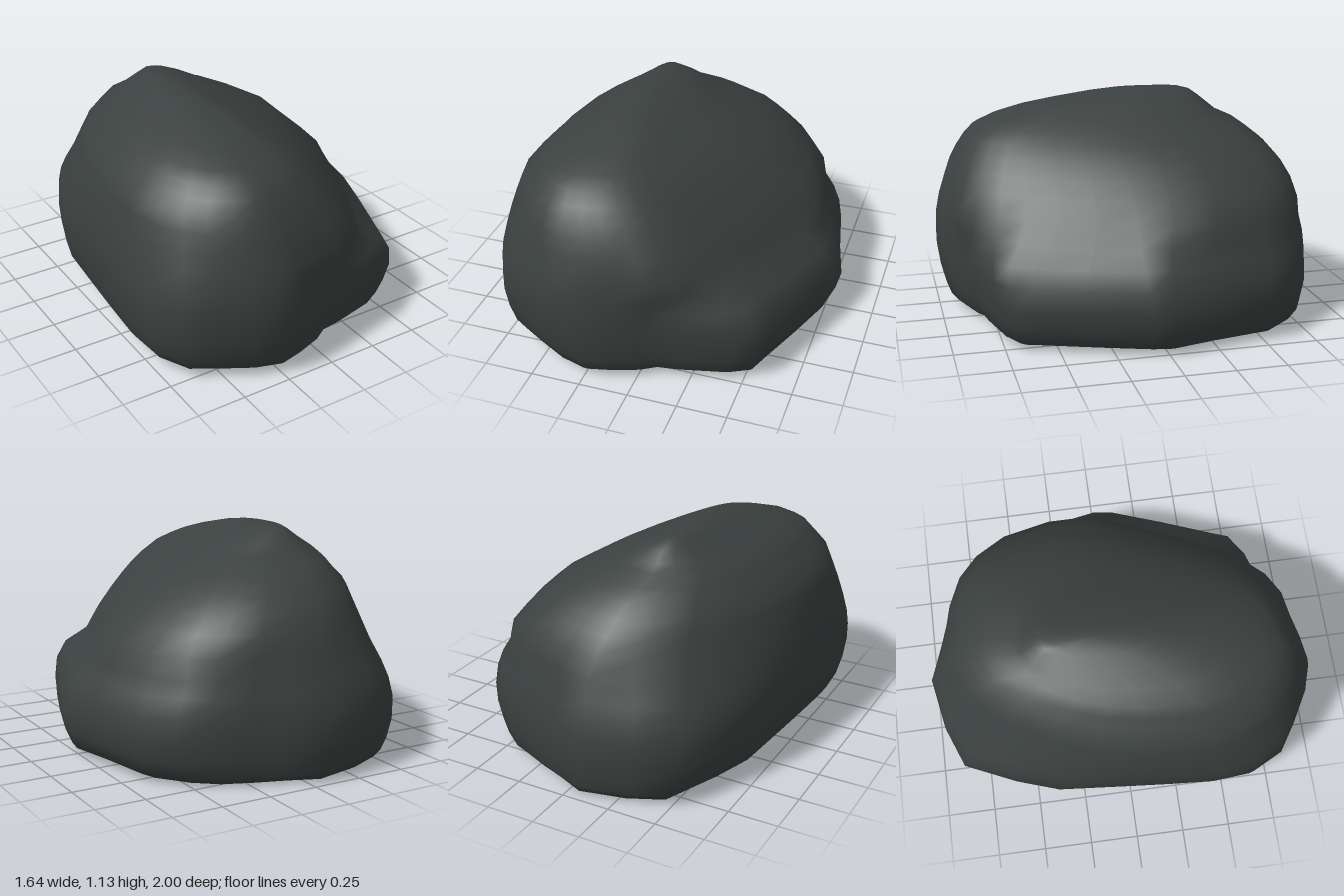
import * as THREE from 'three';

// Plan outlines in a unit square (x, z), from the back round by +x to the front
const LOW = [
  [-0.09, -1], [0.12, -0.93], [0.33, -0.87], [0.54, -0.8], [0.7, -0.7], [0.86, -0.54], [0.93, -0.24],
  [1, 0], [0.98, 0.1], [0.86, 0.37], [0.74, 0.62], [0.69, 0.73], [0.55, 0.79], [0.25, 0.85],
  [0.1, 0.87], [0, 0.92], [-0.18, 0.97], [-0.34, 1], [-0.52, 0.96], [-0.73, 0.87],
  [-0.88, 0.8], [-0.98, 0.64], [-1, 0.44], [-0.98, 0.2], [-0.96, 0], [-0.92, -0.38],
  [-0.83, -0.6], [-0.68, -0.87], [-0.43, -0.95],
];
const HIGH = [
  [0, -1], [0.22, -0.98], [0.45, -0.95], [0.66, -0.88], [0.81, -0.77], [0.92, -0.6], [1, -0.36],
  [0.96, -0.12], [0.89, 0.08], [0.79, 0.28], [0.68, 0.47], [0.58, 0.62], [0.48, 0.75], [0.35, 0.86],
  [0.19, 0.93], [0.03, 0.97], [-0.15, 0.99], [-0.32, 1], [-0.5, 0.95], [-0.68, 0.87],
  [-0.82, 0.76], [-0.94, 0.6], [-1, 0.42], [-1, 0.2], [-0.98, 0], [-0.9, -0.27],
  [-0.76, -0.52], [-0.54, -0.77], [-0.28, -0.94],
];

// Cross-sections from the ground up: y, xMin, xMax, zMin, zMax
const LEVELS = [
  [0.012, -0.6, 0.57, -0.9, 0.81],
  [0.016, -0.68, 0.68, -0.95, 0.895],
  [0.05, -0.735, 0.76, -0.967, 0.935],
  [0.12, -0.775, 0.795, -0.98, 0.96],
  [0.22, -0.8, 0.82, -0.998, 0.985],
  [0.33, -0.815, 0.8, -0.993, 1],
  [0.42, -0.82, 0.755, -0.975, 1],
  [0.5, -0.815, 0.695, -0.945, 0.995],
  [0.6, -0.8, 0.665, -0.91, 0.975],
  [0.7, -0.78, 0.57, -0.865, 0.94],
  [0.78, -0.755, 0.48, -0.815, 0.91],
  [0.85, -0.73, 0.4, -0.755, 0.87],
  [0.91, -0.67, 0.3, -0.68, 0.83],
  [0.96, -0.625, 0.21, -0.61, 0.78],
  [1.0, -0.58, 0.13, -0.52, 0.69],
  [1.04, -0.5, 0.05, -0.47, 0.57],
  [1.08, -0.41, -0.03, -0.42, 0.39],
  [1.115, -0.33, -0.12, -0.37, 0.19],
  [1.13, -0.29, -0.18, -0.31, 0.05],
];

function stoneGeometry() {
  const n = LOW.length;
  const positions = [];
  const index = [];

  for (const [y, x0, x1, z0, z1] of LEVELS) {
    // The front corner on the +x side changes quickly, leaving a small ledge
    const ledge = THREE.MathUtils.smoothstep(y, 0.38, 0.56);
    const slope = THREE.MathUtils.smoothstep(y, 0.25, 0.85);
    // The underside rises slightly towards -x
    const tilt = y < 0.06 ? -0.016 : 0;
    LOW.forEach(([lu, lv], i) => {
      const t = lu > 0 && lv > 0 ? ledge : slope;
      const u = THREE.MathUtils.lerp(lu, HIGH[i][0], t);
      const v = THREE.MathUtils.lerp(lv, HIGH[i][1], t);
      const x = (x0 + x1) / 2 + (u * (x1 - x0)) / 2;
      const z = (z0 + z1) / 2 + (v * (z1 - z0)) / 2;
      positions.push(x, y + tilt * x, z);
    });
  }

  // Skin between neighbouring sections
  for (let j = 0; j < LEVELS.length - 1; j++) {
    for (let i = 0; i < n; i++) {
      const k = (i + 1) % n;
      const a = j * n + i, b = j * n + k, c = a + n, d = b + n;
      index.push(a, c, b, b, c, d);
    }
  }

  // Close the underside and the crown
  const base = positions.length / 3;
  positions.push(0, 0.012, 0, -0.23, 1.135, -0.12);
  const top = (LEVELS.length - 1) * n;
  for (let i = 0; i < n; i++) {
    const k = (i + 1) % n;
    index.push(base, i, k, base + 1, top + k, top + i);
  }

  const geometry = new THREE.BufferGeometry();
  geometry.setAttribute('position', new THREE.Float32BufferAttribute(positions, 3));
  geometry.setIndex(index);
  geometry.computeVertexNormals();
  return geometry;
}

export function createModel() {
  const group = new THREE.Group();
  group.name = 'rock';
  const stone = new THREE.MeshStandardMaterial({ color: 0x3b4140 });
  stone.name = 'dark stone';
  const boulder = new THREE.Mesh(stoneGeometry(), stone);
  boulder.name = 'boulder';
  group.add(boulder);
  return group;
}
